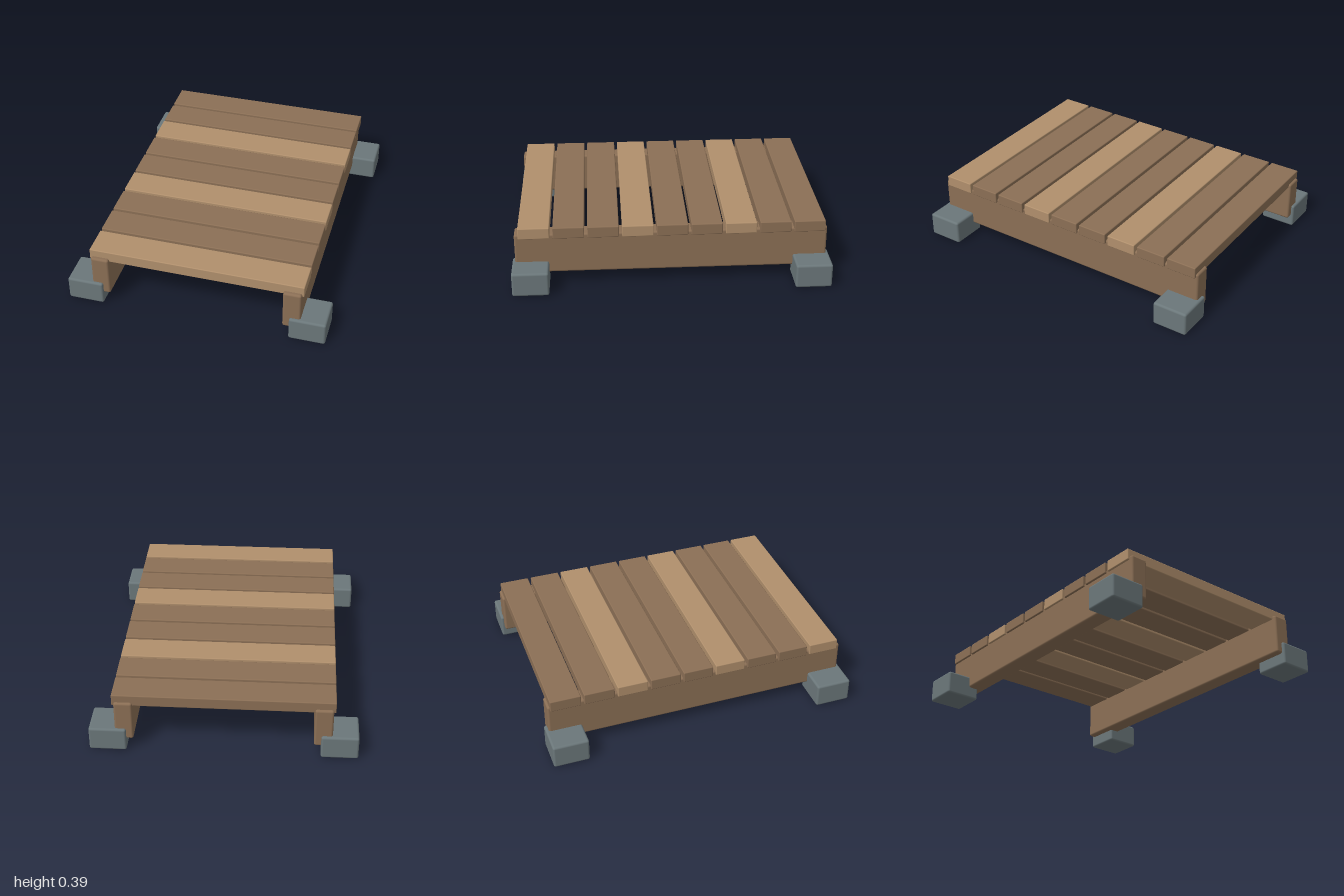
import * as THREE from 'three';
import { RoundedBoxGeometry } from 'three/addons/geometries/RoundedBoxGeometry.js';

const material = (color) => new THREE.MeshStandardMaterial({ color });

export function createModel() {
  const model = new THREE.Group();
  model.name = 'slattedPlatform';

  const lightWood = material(0xb08f6c);
  const darkWood = material(0x8b6f55);
  const stone = material(0x6b777a);

  const addBlock = (name, size, position, radius, mat) => {
    const mesh = new THREE.Mesh(new RoundedBoxGeometry(...size, 3, radius), mat);
    mesh.name = name;
    mesh.position.set(...position);
    model.add(mesh);
  };

  // Deck planks, back to front; every third one is lighter
  const count = 9, spacing = 0.216;
  for (let i = 0; i < count; i++) {
    const z = (i - (count - 1) / 2) * spacing - 0.005;
    addBlock(`plank${i + 1}`, [1.366, 0.074, 0.196], [0, 0.356, z], 0.006,
      i % 3 === 2 ? lightWood : darkWood);
  }

  for (const [side, sx] of [['left', 1], ['right', -1]]) {
    // Long rail under the planks
    addBlock(`${side}Rail`, [0.114, 0.266, 1.964], [sx * 0.613, 0.211, 0], 0.014, darkWood);

    // Corner feet at the rail ends
    for (const [end, sz] of [['Front', 1], ['Back', -1]]) {
      addBlock(`${side}${end}Foot`, [0.232, 0.156, 0.23],
        [sx * 0.716, 0.078, sz * 0.885], 0.014, stone);
    }
  }
  return model;
}
